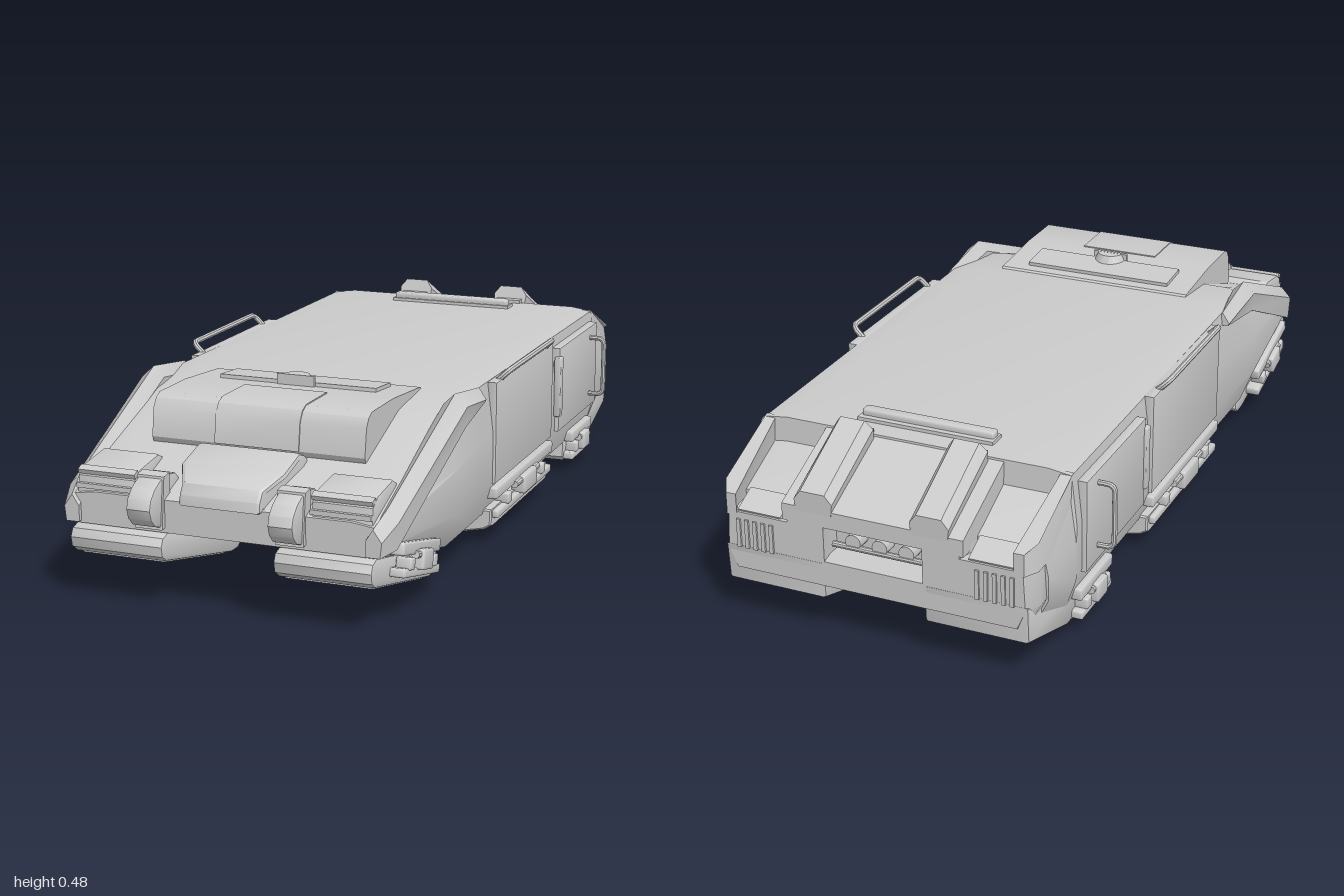
import * as THREE from 'three';
import { toCreasedNormals } from 'three/addons/utils/BufferGeometryUtils.js';
import { RoundedBoxGeometry } from 'three/addons/geometries/RoundedBoxGeometry.js';

const material = new THREE.MeshStandardMaterial({ color: 0xcccccc });

// Outline in the xy plane
const outline = (points) => new THREE.Shape(points.map(([x, y]) => new THREE.Vector2(x, y)));

// Side profile of [z, y] points extruded from x0 to x1
function prismX(points, x0, x1, bevel = 0) {
  const geo = new THREE.ExtrudeGeometry(outline(points), {
    depth: x1 - x0 - 2 * bevel, bevelEnabled: bevel > 0, bevelSize: bevel,
    bevelThickness: bevel, bevelOffset: -bevel, bevelSegments: 2,
  });
  return geo.rotateY(-Math.PI / 2).translate(x1 - bevel, 0, 0);
}

// Box with optional tilt and rounding
function box(w, h, d, x, y, z, rx = 0, r = 0, rz = 0) {
  const geo = r ? new RoundedBoxGeometry(w, h, d, 2, r) : new THREE.BoxGeometry(w, h, d);
  return geo.rotateX(rx).rotateZ(rz).translate(x, y, z);
}

// Narrow the end of a part beyond a given distance along z
function taper(geo, limit, factor) {
  const p = geo.attributes.position;
  for (let i = 0; i < p.count; i++) {
    if (p.getZ(i) * Math.sign(limit) > Math.abs(limit)) p.setX(i, p.getX(i) * factor);
  }
  return geo;
}

// Skin over rings listed from back to front, each anticlockwise seen from the front
function loft(rings) {
  const n = rings[0].length, index = [];
  for (let i = 0; i < rings.length - 1; i++) {
    for (let j = 0; j < n; j++) {
      const a = i * n + j, b = i * n + (j + 1) % n;
      index.push(a, b, b + n, a, b + n, a + n);
    }
  }
  const last = (rings.length - 1) * n;
  for (let j = 1; j < n - 1; j++) {
    index.push(0, j + 1, j, last, last + j, last + j + 1);
  }
  const geo = new THREE.BufferGeometry();
  geo.setAttribute('position', new THREE.Float32BufferAttribute(rings.flat(2), 3));
  geo.setIndex(index);
  return geo;
}

// Mirror across x and restore the winding
function mirrored(geo) {
  const out = geo.index ? geo.toNonIndexed() : geo.clone();
  out.scale(-1, 1, 1);
  const p = out.attributes.position;
  for (let i = 0; i < p.count; i += 3) {
    const b = new THREE.Vector3().fromBufferAttribute(p, i + 1);
    const c = new THREE.Vector3().fromBufferAttribute(p, i + 2);
    p.setXYZ(i + 1, c.x, c.y, c.z);
    p.setXYZ(i + 2, b.x, b.y, b.z);
  }
  return out;
}

// Bent round rail through corner points
function rail(points, radius) {
  const path = new THREE.CurvePath();
  const v = points.map((p) => new THREE.Vector3(...p));
  let from = v[0];
  for (let i = 1; i < v.length - 1; i++) {
    const into = v[i].clone().lerp(v[i - 1], 0.02 / v[i].distanceTo(v[i - 1]));
    const out = v[i].clone().lerp(v[i + 1], 0.02 / v[i].distanceTo(v[i + 1]));
    path.add(new THREE.LineCurve3(from, into));
    path.add(new THREE.QuadraticBezierCurve3(into, v[i], out));
    from = out;
  }
  path.add(new THREE.LineCurve3(from, v[v.length - 1]));
  return new THREE.TubeGeometry(path, 48, radius, 8);
}

export function createModel() {
  const model = new THREE.Group();
  const add = (name, geo) => {
    const mesh = new THREE.Mesh(toCreasedNormals(geo, 0.5), material);
    mesh.name = name;
    model.add(mesh);
  };
  const pair = (name, geo) => {
    add(name + 'Left', geo);
    add(name + 'Right', mirrored(geo));
  };

  // Hull: z, bottom, top, half widths at bottom, middle and roof
  const sections = [
    [-0.92, 0.14, 0.315, 0.39, 0.412, 0.4],
    [-0.775, 0.09, 0.38, 0.395, 0.42, 0.405],
    [-0.77, 0.09, 0.442, 0.395, 0.42, 0.405],
    [0.3, 0.085, 0.447, 0.395, 0.422, 0.405],
    [0.5, 0.09, 0.425, 0.4, 0.432, 0.4],
    [0.93, 0.19, 0.27, 0.38, 0.4, 0.385],
  ];
  add('hull', loft(sections.map(([z, b, t, wb, wm, wt]) => {
    const m1 = b + (t - b) * 0.25, m2 = b + (t - b) * 0.6, e = t - 0.008;
    return [[-wb, b, z], [wb, b, z], [wm, m1, z], [wm, m2, z], [wt, e, z], [wt - 0.06, t, z],
      [0.06 - wt, t, z], [-wt, e, z], [-wm, m2, z], [-wm, m1, z]];
  })));

  // Rear wall with an open niche
  const wall = outline([[-0.385, 0.14], [0.385, 0.14], [0.408, 0.19], [0.402, 0.29], [0.235, 0.29], [0.235, 0.31],
    [-0.235, 0.31], [-0.235, 0.29], [-0.402, 0.29], [-0.408, 0.19]]);
  wall.holes.push(outline([[-0.135, 0.205], [-0.135, 0.295], [0.135, 0.295], [0.135, 0.205]]));
  add('rearWall', taper(new THREE.ExtrudeGeometry(wall, { depth: 0.08, steps: 2, bevelEnabled: false })
    .translate(0, 0, -0.995), -0.98, 0.95));
  add('rearDeck', prismX([[-0.76, 0.441], [-0.997, 0.34], [-0.997, 0.297], [-0.76, 0.297]], -0.235, 0.235));
  pair('rearPocketEdge', taper(prismX([[-0.76, 0.438], [-0.96, 0.353], [-0.997, 0.337], [-0.997, 0.28], [-0.96, 0.28],
    [-0.76, 0.28]], 0.378, 0.406), -0.98, 0.95));
  pair('rearPocketRamp', box(0.115, 0.02, 0.07, 0.302, 0.3, -0.955, -0.42));
  for (let i = 0; i < 5; i++) {
    pair('rearVent' + i, box(0.01, 0.075, 0.01, 0.268 + i * 0.022, 0.235, -0.995));
  }

  // Couplings inside the niche
  for (const x of [-0.07, 0, 0.07]) {
    add('coupling', new THREE.CylinderGeometry(0.02, 0.02, 0.04, 16).rotateX(Math.PI / 2).translate(x, 0.25, -0.94));
  }
  add('couplingPipe', new THREE.CylinderGeometry(0.008, 0.008, 0.25, 10).rotateZ(Math.PI / 2).translate(0, 0.235, -0.955));

  // Flat-topped housings and bar at the back of the roof
  pair('rearHousing', loft([[-0.998, 0.33, -0.002], [-0.775, 0.432, -0.018]].map(([z, y, lean]) =>
    [[0.104, y, z], [0.196, y, z], [0.2, y + 0.03, z + lean / 2], [0.182, y + 0.053, z + lean],
      [0.118, y + 0.053, z + lean], [0.1, y + 0.03, z + lean / 2]])));
  pair('rearHousingFoot', box(0.075, 0.02, 0.03, 0.15, 0.441, -0.772));
  add('roofBar', box(0.35, 0.022, 0.03, 0, 0.456, -0.685, 0, 0.006));
  add('roofBarBase', box(0.36, 0.012, 0.05, 0, 0.445, -0.69));

  // Raised housing above the nose
  add('roofHousing', prismX([[0.33, 0.43], [0.35, 0.447], [0.54, 0.462], [0.68, 0.462], [0.7, 0.452],
    [0.715, 0.43], [0.725, 0.36], [0.71, 0.33], [0.33, 0.35]], -0.278, 0.278));
  add('roofHousingCentre', prismX([[0.55, 0.465], [0.68, 0.465], [0.702, 0.455], [0.718, 0.43], [0.728, 0.36], [0.55, 0.4]], -0.11, 0.11));
  add('hatch', box(0.42, 0.014, 0.1, 0, 0.456, 0.43, -0.08));
  add('hatchKnob', new THREE.CylinderGeometry(0.035, 0.052, 0.035, 20, 1, false, Math.PI / 2, Math.PI).translate(0, 0.467, 0.485));
  add('hatchKnobFace', box(0.1, 0.03, 0.01, 0, 0.47, 0.484));

  // Nose hood, lamp boxes and towing arms
  add('noseHood', taper(prismX([[0.7, 0.33], [0.74, 0.36], [0.77, 0.37], [0.86, 0.345], [0.92, 0.315], [0.937, 0.29],
    [0.94, 0.265], [0.86, 0.25], [0.7, 0.25]], -0.134, 0.134, 0.012), 0.875, 0.78));
  pair('lampBox', prismX([[0.77, 0.325], [0.795, 0.338], [0.89, 0.325], [0.92, 0.305], [0.928, 0.25], [0.78, 0.26]], 0.225, 0.376, 0.005));
  pair('lampSlatUpper', box(0.15, 0.012, 0.02, 0.3, 0.318, 0.912, 0.4));
  pair('lampSlatLower', box(0.15, 0.012, 0.02, 0.3, 0.283, 0.922));
  pair('towArm', prismX([[0.83, 0.29], [0.86, 0.318], [0.9, 0.325], [0.94, 0.319], [0.97, 0.304], [0.99, 0.284], [0.998, 0.26],
    [0.99, 0.235], [0.97, 0.215], [0.94, 0.205], [0.87, 0.22]], 0.148, 0.21, 0.004));
  pair('towArmBand', prismX([[0.9, 0.33], [0.93, 0.326], [0.945, 0.2], [0.9, 0.21]], 0.144, 0.214));

  // Sloping edge beams beside the nose: z, inner, outer, bottom, top
  const beam = [
    [0.28, 0.392, 0.425, 0.405, 0.442],
    [0.46, 0.378, 0.436, 0.385, 0.467],
    [0.88, 0.37, 0.418, 0.2, 0.295],
    [0.942, 0.365, 0.4, 0.195, 0.262],
  ];
  pair('edgeBeam', loft(beam.map(([z, a, o, b, t]) =>
    [[a, b, z], [o, b, z], [o + 0.004, t - 0.03, z], [(a + o) / 2, t, z], [a, t - 0.028, z]])));

  // Side doors
  pair('middleDoor', prismX([[0.2, 0.17], [0.2, 0.437], [-0.3, 0.437], [-0.3, 0.17]], 0.4, 0.43, 0.004));
  pair('rearDoor', prismX([[-0.36, 0.17], [-0.36, 0.408], [-0.74, 0.408], [-0.74, 0.17]], 0.4, 0.432, 0.002));
  pair('doorHinge', box(0.02, 0.17, 0.025, 0.43, 0.3, -0.358, 0, 0.004));
  pair('doorHandle', rail([[0.42, 0.21, -0.67], [0.474, 0.21, -0.67], [0.474, 0.376, -0.67], [0.42, 0.376, -0.67]], 0.007));
  pair('roofRail', rail([[0.415, 0.43, 0.15], [0.446, 0.46, 0.15], [0.446, 0.46, -0.24], [0.415, 0.43, -0.24]], 0.008));

  // Hover pods with inset panels below
  pair('frontPod', prismX([[0.92, 0.187], [0.945, 0.18], [0.955, 0.16], [0.95, 0.135], [0.93, 0.12], [0.57, 0.033],
    [0.53, 0.033], [0.508, 0.05], [0.51, 0.07], [0.53, 0.1]], 0.142, 0.385, 0.006));
  pair('frontPodPanel', box(0.215, 0.008, 0.34, 0.264, 0.076, 0.75, -0.237));
  pair('rearPod', prismX([[-0.54, 0.1], [-0.54, 0.045], [-0.56, 0.03], [-0.76, 0.03], [-0.99, 0.105], [-0.996, 0.2],
    [-0.76, 0.13]], 0.13, 0.395, 0.008));
  pair('rearPodPanel', box(0.21, 0.008, 0.17, 0.265, 0.068, -0.875, 0.315));
  const podShape = outline([[0.42, 0.1], [0.42, 0.055], [0.4, 0.042], [0.22, 0.004], [0.13, 0.035], [0.1, 0.1]]);
  pair('middlePod', new THREE.ExtrudeGeometry(podShape,
    { depth: 0.47, bevelSize: 0.006, bevelThickness: 0.012, bevelSegments: 2, bevelOffset: -0.006 }).translate(0, 0, -0.285));
  pair('middlePodPanel', box(0.15, 0.008, 0.4, 0.312, 0.023, -0.05, 0, 0, 0.208));

  // Clamps along the lower sides: x, z, y, length, tilt
  const clamps = {
    front: [0.4, 0.72, 0.135, 0.26, -0.25],
    middle: [0.412, -0.05, 0.12, 0.5, 0],
    rear: [0.4, -0.645, 0.082, 0.2, 0],
  };
  for (const [name, [x, z, y, len, tilt]] of Object.entries(clamps)) {
    pair(name + 'ClampRail', box(0.045, 0.032, len, x, y + 0.024, z, tilt, 0.006));
    pair(name + 'ClampLower', box(0.045, 0.022, len * 0.95, x, y - 0.035, z, tilt, 0.005));
    pair(name + 'ClampBlock', box(0.04, 0.05, len * 0.16 + 0.03, x + 0.018, y - 0.004, z, tilt, 0.006));
    pair(name + 'ClampPin', new THREE.CylinderGeometry(0.01, 0.01, len * 0.4, 10).rotateX(Math.PI / 2 + tilt).translate(x + 0.022, y + 0.008, z));
    for (const s of [-1, 1]) {
      pair(name + 'ClampLug', box(0.04, 0.03, 0.03, x + 0.008, y - 0.012 - s * Math.sin(tilt) * len * 0.3, z + s * len * 0.3, tilt, 0.005));
    }
  }

  return model;
}
